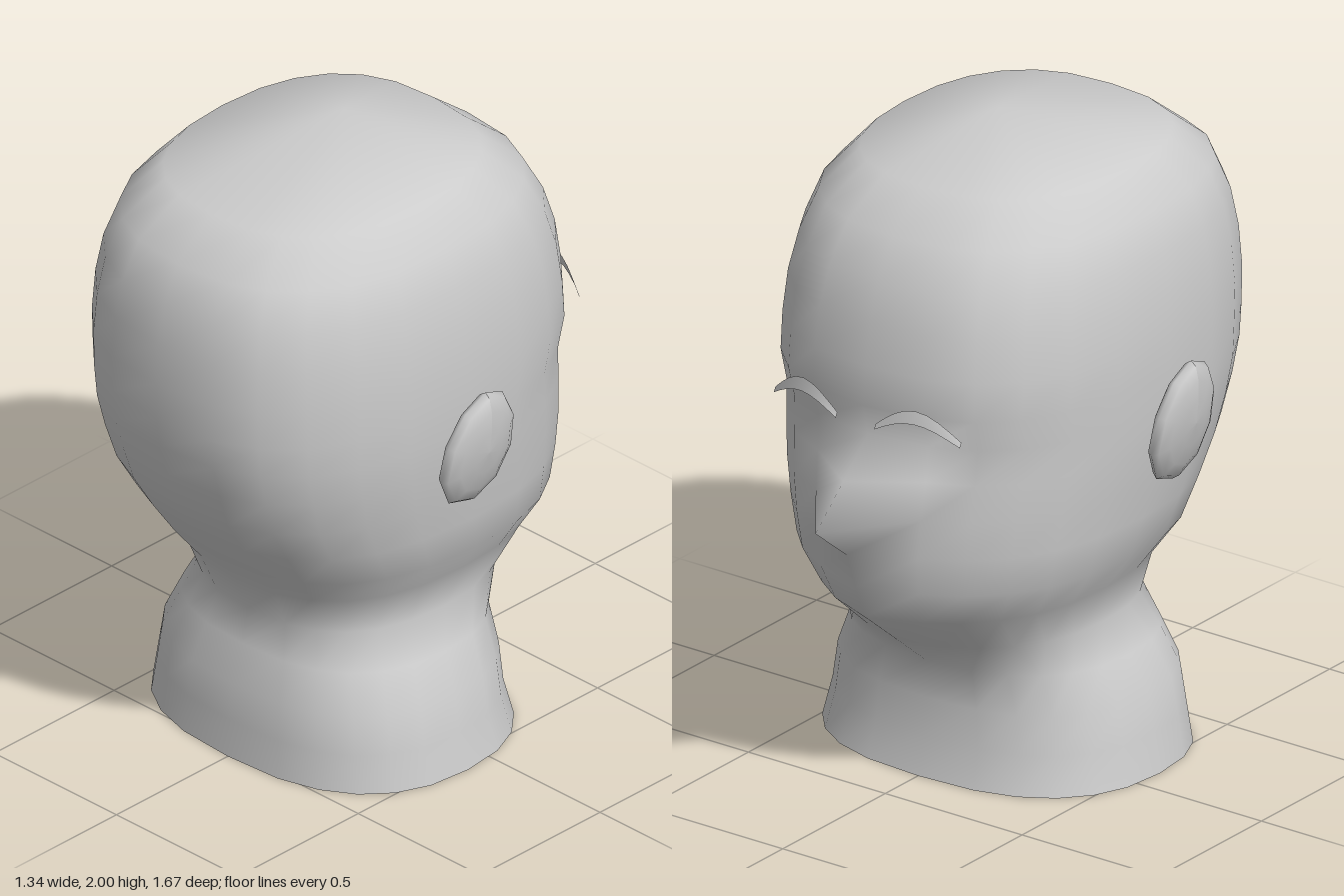
import * as THREE from 'three';

const skin = new THREE.MeshStandardMaterial({ color: 0xcccccc, side: THREE.DoubleSide });
skin.name = 'plainGrey';

const COLUMNS = 24;

// Rings from neck to crown: y, half width, back z, face z, profile z on the centre line, share of it for the next columns
const RINGS = [
  [0.00, 0.555, 0.535, -0.34, -0.34, 0],
  [0.12, 0.53, 0.525, -0.31, -0.31, 0],
  [0.24, 0.51, 0.515, -0.305, -0.305, 0],
  [0.36, 0.455, 0.475, -0.30, -0.305, 0],
  [0.47, 0.40, 0.45, -0.38, -0.44, 0.5],
  [0.60, 0.437, 0.505, -0.51, -0.60, 0.5],
  [0.71, 0.51, 0.59, -0.56, -0.645, 0.4],
  [0.83, 0.532, 0.675, -0.58, -0.69, 0.25],
  [0.95, 0.55, 0.75, -0.59, -0.84, 0.05],
  [1.07, 0.567, 0.79, -0.58, -0.705, 0.05],
  [1.18, 0.575, 0.82, -0.575, -0.585, 0],
  [1.28, 0.578, 0.832, -0.605, -0.61, 0],
  [1.40, 0.578, 0.835, -0.595, -0.595, 0],
  [1.53, 0.567, 0.825, -0.575, -0.575, 0],
  [1.65, 0.545, 0.80, -0.535, -0.535, 0],
  [1.77, 0.505, 0.745, -0.465, -0.465, 0],
  [1.88, 0.41, 0.605, -0.325, -0.325, 0],
];

// Builds an indexed mesh with smooth normals
function surface(name, positions, index) {
  const geometry = new THREE.BufferGeometry();
  geometry.setAttribute('position', new THREE.Float32BufferAttribute(positions, 3));
  geometry.setIndex(index);
  geometry.computeVertexNormals();
  const mesh = new THREE.Mesh(geometry, skin);
  mesh.name = name;
  return mesh;
}

const bulge = (v, p) => Math.sign(v) * Math.pow(Math.abs(v), p);

// Head, nose and neck in one skin, open at the bottom
function makeHead() {
  const positions = [], index = [];
  const half = COLUMNS / 2;
  for (const [y, width, back, face, profile, share] of RINGS) {
    const middle = (back + face) / 2, depth = (back - face) / 2;
    for (let j = 0; j < COLUMNS; j++) {
      const a = (j / COLUMNS) * Math.PI * 2;
      let z = middle + depth * bulge(Math.cos(a), 0.85);
      const fromFront = Math.abs(j - half);
      if (fromFront === 0) z = profile;
      if (fromFront === 1) z += (profile - face) * share;
      if (fromFront === 2) z += (profile - face) * share * 0.4;
      positions.push(width * bulge(Math.sin(a), 0.78), y, z);
    }
  }
  const apex = positions.length / 3;
  positions.push(0, 2, 0.05);
  for (let i = 0; i < RINGS.length; i++) {
    for (let j = 0; j < COLUMNS; j++) {
      const a = i * COLUMNS + j, b = i * COLUMNS + (j + 1) % COLUMNS;
      if (i === RINGS.length - 1) index.push(a, b, apex);
      else index.push(a, b, b + COLUMNS, a, b + COLUMNS, a + COLUMNS);
    }
  }
  return surface('headAndNeck', positions, index);
}

// Flattened ear leaning outward at the top
function makeEar(name) {
  const geometry = new THREE.SphereGeometry(1, 10, 8);
  geometry.rotateZ(-Math.PI / 2);
  geometry.scale(0.052, 0.197, 0.16);
  const p = geometry.attributes.position;
  for (let i = 0; i < p.count; i++) {
    const y = p.getY(i), z = p.getZ(i);
    p.setX(i, p.getX(i) + 0.17 * y + 0.1 * z);
    // Narrower towards the top
    p.setZ(i, z * (1 - 0.5 * y));
  }
  geometry.computeVertexNormals();
  const mesh = new THREE.Mesh(geometry, skin);
  mesh.name = name;
  return mesh;
}

// Thin arched strip above the eye
function makeBrow(name, side) {
  const positions = [], index = [], steps = 8;
  for (let i = 0; i <= steps; i++) {
    const t = i / steps;
    const arch = Math.sin(Math.PI * t);
    const x = side * (0.07 + 0.27 * t);
    const z = -0.648 + 0.058 * t * t;
    const y = 1.235 + 0.05 * arch - 0.01 * t;
    positions.push(x, y, z, x, y + 0.015 + 0.025 * arch, z + 0.008);
    if (i < steps) {
      const a = i * 2;
      if (side > 0) index.push(a, a + 1, a + 2, a + 2, a + 1, a + 3);
      else index.push(a, a + 2, a + 1, a + 2, a + 3, a + 1);
    }
  }
  return surface(name, positions, index);
}

export function createModel() {
  const group = new THREE.Group();
  group.name = 'headBust';
  group.add(makeHead());

  const leftEar = makeEar('leftEar');
  leftEar.position.set(0.605, 1.13, 0.11);
  const rightEar = makeEar('rightEar');
  rightEar.rotation.y = Math.PI;
  rightEar.position.set(-0.605, 1.13, 0.14);
  group.add(leftEar, rightEar);

  group.add(makeBrow('leftBrow', 1), makeBrow('rightBrow', -1));
  return group;
}
